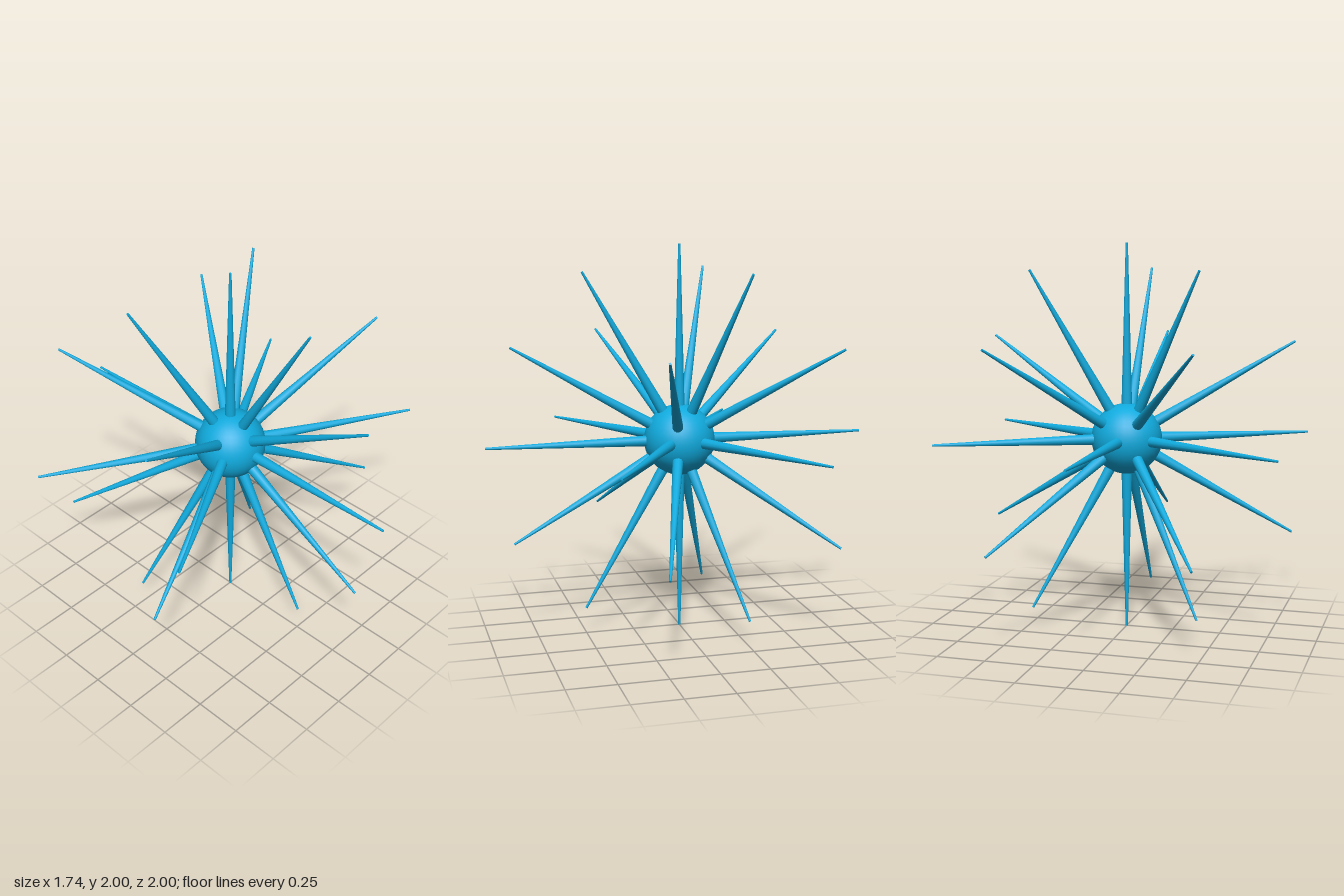
import * as THREE from 'three';

export function createModel() {
  const model = new THREE.Group();
  model.name = 'spikyBall';
  const material = new THREE.MeshStandardMaterial({ color: 0x10aadd });

  // round core
  const core = new THREE.Mesh(new THREE.SphereGeometry(0.183, 32, 20), material);
  core.name = 'core';
  core.position.y = 1;
  model.add(core);

  // one tapered spike along +y, rooted inside the core
  const root = 0.14;
  const spikeGeometry = new THREE.CylinderGeometry(0.006, 0.029, 1 - root, 12);
  spikeGeometry.translate(0, (1 + root) / 2, 0);

  // rings of spikes: elevation in degrees and number of spikes
  const rings = [[90, 1], [60, 3], [30, 5], [0, 6], [-30, 5], [-60, 3], [-90, 1]];
  const up = new THREE.Vector3(0, 1, 0);
  for (const [degrees, count] of rings) {
    const elevation = THREE.MathUtils.degToRad(degrees);
    const ring = new THREE.Group();
    ring.name = `spikeRing${degrees}`;
    ring.position.y = 1;
    for (let i = 0; i < count; i++) {
      const direction = new THREE.Vector3().setFromSphericalCoords(
        1, Math.PI / 2 - elevation, (i / count) * Math.PI * 2);
      const spike = new THREE.Mesh(spikeGeometry, material);
      spike.name = 'spike';
      spike.quaternion.setFromUnitVectors(up, direction);
      ring.add(spike);
    }
    model.add(ring);
  }
  return model;
}
